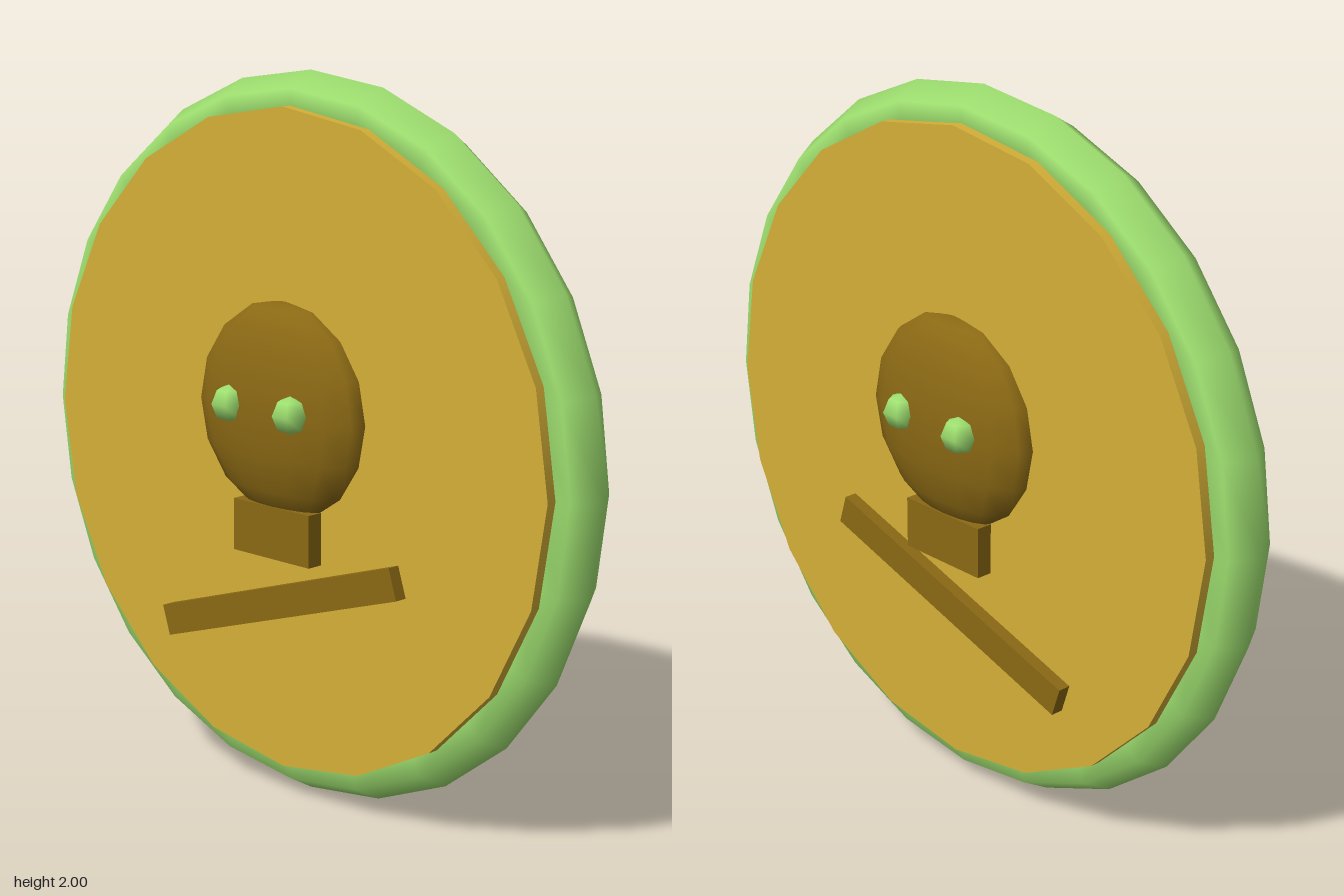
import * as THREE from 'three';

export function createModel() {
  const material = (name, color) => {
    const m = new THREE.MeshStandardMaterial({ color });
    m.name = name;
    return m;
  };
  const gold = material('gold', 0xd4af37);
  const brown = material('dark bronze', 0x8b6914);
  const green = material('pale green', 0x9fe070);

  const root = new THREE.Group();
  root.name = 'medallion';
  const add = (parent, name, geometry, mat, x = 0, y = 0, z = 0) => {
    const mesh = new THREE.Mesh(geometry, mat);
    mesh.name = name;
    mesh.position.set(x, y, z);
    parent.add(mesh);
    return mesh;
  };

  // Coin body and its glowing rim
  add(root, 'disc', new THREE.CylinderGeometry(0.91, 0.91, 0.216, 20).rotateX(Math.PI / 2), gold, 0, 1, 0);
  add(root, 'rim', new THREE.TorusGeometry(0.91, 0.09, 6, 24), green, 0, 1, 0);

  // The same skull emblem on both faces
  const headGeometry = new THREE.SphereGeometry(1, 16, 8).scale(0.307, 0.3, 0.11);
  const eyeGeometry = new THREE.SphereGeometry(0.053, 6, 4);
  const jawGeometry = new THREE.BoxGeometry(0.286, 0.145, 0.1);
  const boneGeometry = new THREE.BoxGeometry(0.914, 0.088, 0.09);
  for (const side of [1, -1]) {
    const emblem = new THREE.Group();
    emblem.name = side > 0 ? 'frontEmblem' : 'backEmblem';
    add(emblem, 'skull', headGeometry, brown, 0, 1.1, side * 0.1);
    add(emblem, 'jaw', jawGeometry, brown, 0, 0.768, side * 0.105);
    add(emblem, 'leftEye', eyeGeometry, green, 0.115, 1.115, side * 0.192);
    add(emblem, 'rightEye', eyeGeometry, green, -0.115, 1.115, side * 0.192);
    // Slanted bone below the jaw
    add(emblem, 'bone', boneGeometry, brown, 0, 0.568, side * 0.1).rotation.z = 0.31;
    root.add(emblem);
  }
  return root;
}
